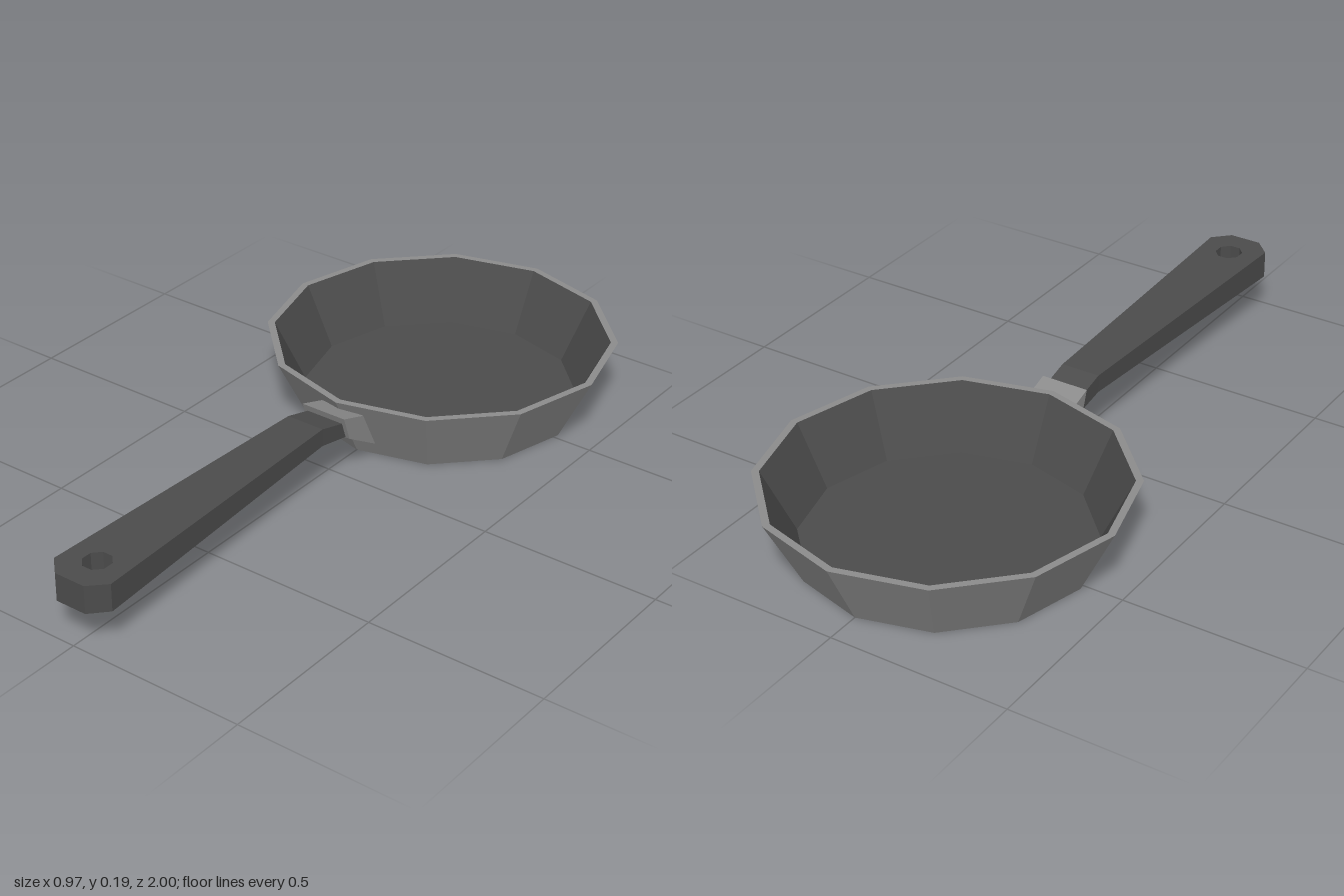
import * as THREE from 'three';

const darkIron = new THREE.MeshStandardMaterial({ color: 0x4c4c4c });
const paleSteel = new THREE.MeshStandardMaterial({ color: 0x8c8c8c });

const points = (list) => list.map(([x, y]) => new THREE.Vector2(x, y));

function mesh(name, geometry, material) {
  const m = new THREE.Mesh(geometry, material);
  m.name = name;
  return m;
}

// Twelve-sided turned shell with flat facets
function turned(profile) {
  const g = new THREE.LatheGeometry(points(profile), 12).toNonIndexed();
  g.computeVertexNormals();
  return g;
}

// Side profile given as (z, y), extruded evenly to both sides of x = 0
function sideSlab(profile, width) {
  const g = new THREE.ExtrudeGeometry(new THREE.Shape(points(profile)), { depth: width, bevelEnabled: false });
  return g.translate(0, 0, -width / 2).rotateY(-Math.PI / 2);
}

// Grip: plan outline (x, z) with a hanging hole, thickening toward its end
function gripGeometry() {
  const shape = new THREE.Shape(points([
    [-0.056, 0.1], [0.056, 0.1], [0.09, 0.955], [0.045, 1], [-0.045, 1], [-0.09, 0.955],
  ]));
  const hole = [];
  for (let i = 0; i < 8; i++) {
    const a = (i + 0.5) * Math.PI / 4;
    hole.push([0.038 * Math.cos(a), 0.902 + 0.04 * Math.sin(a)]);
  }
  shape.holes.push(new THREE.Path(points(hole)));
  const g = new THREE.ExtrudeGeometry(shape, { depth: 1, bevelEnabled: false }).rotateX(Math.PI / 2);
  const p = g.attributes.position;
  for (let i = 0; i < p.count; i++) {
    const t = (p.getZ(i) - 0.1) / 0.9;
    p.setY(i, p.getY(i) > -0.5 ? 0.19 : THREE.MathUtils.lerp(0.14, 0.111, t));
  }
  g.computeVertexNormals();
  return g;
}

export function createModel() {
  const model = new THREE.Group();
  model.name = 'fryingPan';

  // Bowl: pale outside and rim, dark cooking surface
  const bowl = new THREE.Group();
  bowl.name = 'bowl';
  bowl.position.z = -0.515;
  bowl.add(
    mesh('outerShell', turned([[0, 0], [0.39, 0], [0.485, 0.19], [0.465, 0.19]]), paleSteel),
    mesh('cookingSurface', turned([[0.465, 0.19], [0.38, 0.02], [0, 0.02]]), darkIron),
  );

  // Handle: straight grip and a neck dipping into the bracket
  const handle = new THREE.Group();
  handle.name = 'handle';
  handle.add(
    mesh('grip', gripGeometry(), darkIron),
    mesh('neck', sideSlab([[0, 0.12], [0.1, 0.14], [0.1, 0.19], [0, 0.163]], 0.112), darkIron),
  );

  // Bracket joining the handle to the bowl wall
  const bracket = mesh('bracket',
    sideSlab([[-0.115, 0.048], [0, 0.118], [0.024, 0.188], [-0.06, 0.16]], 0.136), paleSteel);

  model.add(bowl, handle, bracket);
  return model;
}
